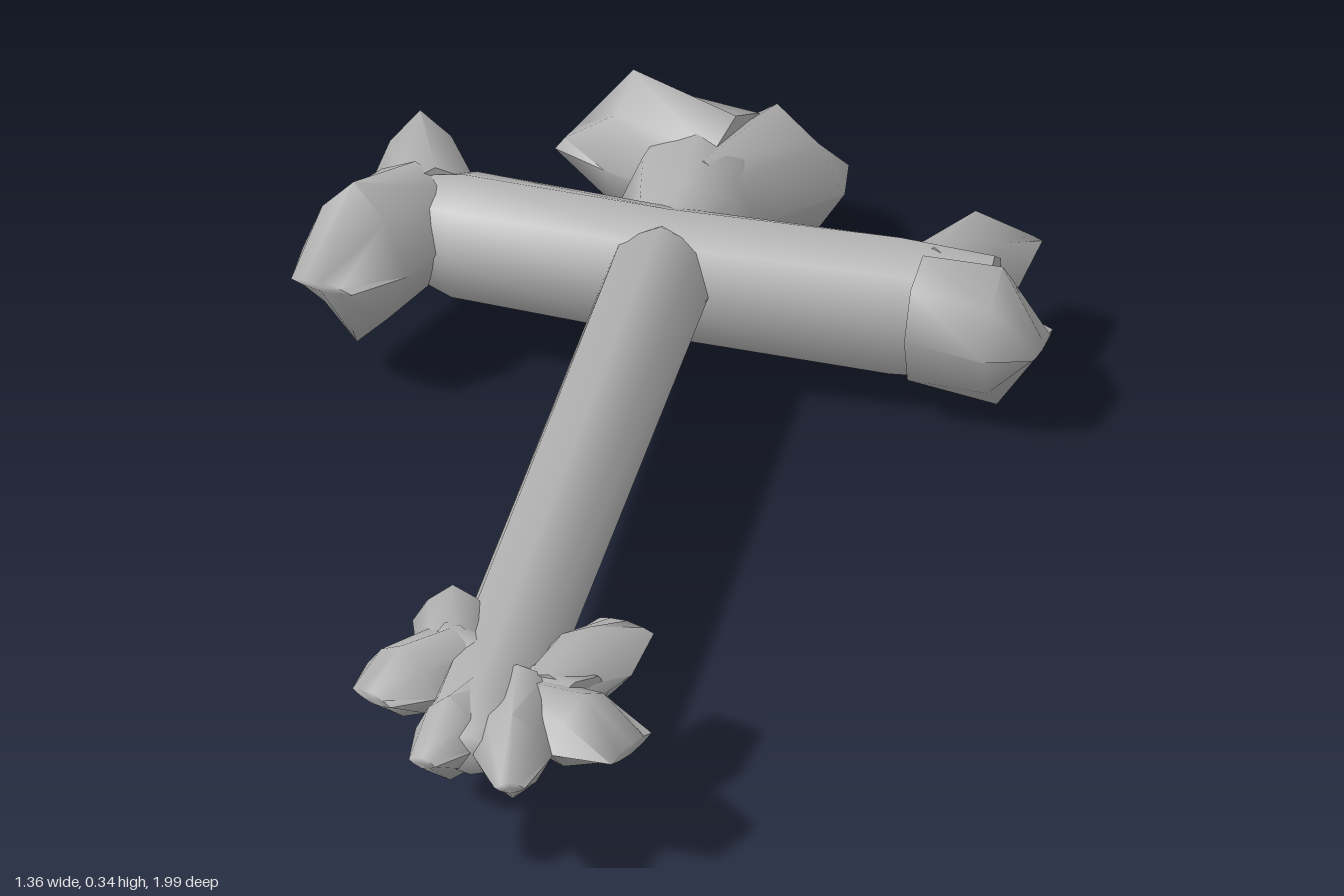
import * as THREE from 'three';
import { toCreasedNormals } from 'three/addons/utils/BufferGeometryUtils.js';

const bone = new THREE.MeshStandardMaterial({ color: 0xb0b0b0 });
bone.name = 'bone grey';

const SIDES = 8;

// Lofts eight-sided rings [x, y, z, halfWidth, halfHeight, diagonal] along a level direction
function loft(rings) {
  const first = rings[0], last = rings[rings.length - 1];
  const dir = new THREE.Vector3(last[0] - first[0], 0, last[2] - first[2]).normalize();
  const side = new THREE.Vector3(0, 1, 0).cross(dir);
  const pos = [], idx = [];
  for (const [x, y, z, w, h, diagonal = 0.71] of rings) {
    for (let i = 0; i < SIDES; i++) {
      const a = (i / SIDES) * Math.PI * 2;
      const k = i % 2 ? diagonal / Math.SQRT1_2 : 1;
      const s = Math.cos(a) * w * k;
      pos.push(x + side.x * s, y + Math.sin(a) * h * k, z + side.z * s);
    }
  }
  const startCentre = pos.length / 3;
  pos.push(...first.slice(0, 3), ...last.slice(0, 3));
  const end = (rings.length - 1) * SIDES;
  for (let i = 0; i < SIDES; i++) {
    const j = (i + 1) % SIDES;
    for (let r = 0; r < end; r += SIDES) {
      idx.push(r + i, r + j, r + SIDES + j, r + i, r + SIDES + j, r + SIDES + i);
    }
    idx.push(startCentre, j, i, startCentre + 1, end + i, end + j);
  }
  const geo = new THREE.BufferGeometry();
  geo.setAttribute('position', new THREE.Float32BufferAttribute(pos, 3));
  geo.setIndex(idx);
  return toCreasedNormals(geo, 1.25);
}

function add(group, name, rings) {
  const mesh = new THREE.Mesh(loft(rings), bone);
  mesh.name = name;
  group.add(mesh);
}

// A knuckle swells from its root to a tall diamond ring, then closes to a level edge
function knuckle(group, name, root, tip, { w, h, rootR, rootH = rootR, edge, at = 0.65 }) {
  const mid = root.map((v, i) => v + (tip[i] - v) * at);
  add(group, name, [
    [...root, rootR, rootH],
    [...mid, w, h, 0.6],
    [...tip, edge, 0.008, 0.6],
  ]);
}

export function createModel() {
  const model = new THREE.Group();
  model.name = 'boneSword';

  // Long bone blade with a forked end
  const blade = new THREE.Group();
  blade.name = 'blade';
  add(blade, 'bladeShaft', [
    [-0.135, 0.19, -0.43, 0.045, 0.05],
    [-0.10, 0.18, -0.355, 0.086, 0.092],
    [0.41, 0.18, 0.73, 0.075, 0.07],
    [0.475, 0.185, 0.87, 0.072, 0.066],
    [0.51, 0.185, 0.93, 0.045, 0.03],
  ]);
  const prong = { w: 0.052, h: 0.066, rootR: 0.055, edge: 0.02, at: 0.65 };
  knuckle(blade, 'bladeTipRight', [0.445, 0.185, 0.78], [0.475, 0.19, 0.99], prong);
  knuckle(blade, 'bladeTipLeft', [0.475, 0.185, 0.78], [0.605, 0.19, 0.97], prong);
  model.add(blade);

  // Crossguard bone with two knuckles at each end
  const guard = new THREE.Group();
  guard.name = 'guard';
  add(guard, 'guardShaft', [
    [-0.53, 0.20, -0.25, 0.07, 0.08],
    [-0.43, 0.19, -0.285, 0.108, 0.105],
    [-0.12, 0.17, -0.40, 0.1, 0.11],
    [0.22, 0.15, -0.55, 0.093, 0.12],
    [0.36, 0.15, -0.60, 0.08, 0.11],
  ]);
  knuckle(guard, 'guardRightFrontKnuckle', [-0.515, 0.20, -0.27], [-0.485, 0.20, 0.008],
    { w: 0.098, h: 0.14, rootR: 0.09, rootH: 0.1, edge: 0.056 });
  knuckle(guard, 'guardRightBackKnuckle', [-0.475, 0.20, -0.27], [-0.65, 0.20, -0.438],
    { w: 0.083, h: 0.125, rootR: 0.09, rootH: 0.1, edge: 0.055, at: 0.67 });
  knuckle(guard, 'guardLeftBackKnuckle', [0.275, 0.155, -0.56], [0.253, 0.17, -0.84],
    { w: 0.082, h: 0.11, rootR: 0.09, rootH: 0.11, edge: 0.047, at: 0.48 });
  knuckle(guard, 'guardLeftFrontKnuckle', [0.27, 0.15, -0.535], [0.46, 0.14, -0.588],
    { w: 0.095, h: 0.12, rootR: 0.085, rootH: 0.11, edge: 0.057 });
  model.add(guard);

  // Short handle bone ending in a pair of heavy knuckles
  const handle = new THREE.Group();
  handle.name = 'handle';
  add(handle, 'handleShaft', [
    [-0.11, 0.18, -0.40, 0.07, 0.08],
    [-0.17, 0.175, -0.52, 0.10, 0.09],
    [-0.23, 0.17, -0.63, 0.115, 0.105],
    [-0.28, 0.165, -0.73, 0.10, 0.10],
  ]);
  knuckle(handle, 'pommelLeftKnuckle', [-0.19, 0.165, -0.60], [-0.235, 0.11, -0.988],
    { w: 0.128, h: 0.134, rootR: 0.085, rootH: 0.1, edge: 0.066 });
  knuckle(handle, 'pommelRightKnuckle', [-0.22, 0.175, -0.735], [-0.503, 0.20, -0.69],
    { w: 0.105, h: 0.137, rootR: 0.125, rootH: 0.11, edge: 0.085 });
  model.add(handle);

  // Small knuckled spurs either side of the blade tip
  const spurs = new THREE.Group();
  spurs.name = 'tipSpurs';
  const small = { w: 0.056, h: 0.056, rootR: 0.05, rootH: 0.04, edge: 0.036 };
  add(spurs, 'rightSpurStem', [
    [0.44, 0.20, 0.76, 0.035, 0.03],
    [0.34, 0.205, 0.765, 0.06, 0.045],
  ]);
  knuckle(spurs, 'rightSpurBackKnuckle', [0.36, 0.205, 0.77], [0.265, 0.205, 0.65], small);
  knuckle(spurs, 'rightSpurFrontKnuckle', [0.355, 0.205, 0.75], [0.335, 0.205, 0.92],
    { ...small, w: 0.068 });
  add(spurs, 'leftSpurStem', [
    [0.44, 0.195, 0.755, 0.035, 0.03],
    [0.56, 0.19, 0.765, 0.07, 0.045],
  ]);
  knuckle(spurs, 'leftSpurBackKnuckle', [0.52, 0.195, 0.77], [0.495, 0.20, 0.556],
    { ...small, w: 0.068, edge: 0.043, at: 0.5 });
  knuckle(spurs, 'leftSpurFrontKnuckle', [0.50, 0.19, 0.795], [0.672, 0.185, 0.79],
    { ...small, w: 0.078, edge: 0.048, at: 0.55 });
  model.add(spurs);

  return model;
}
